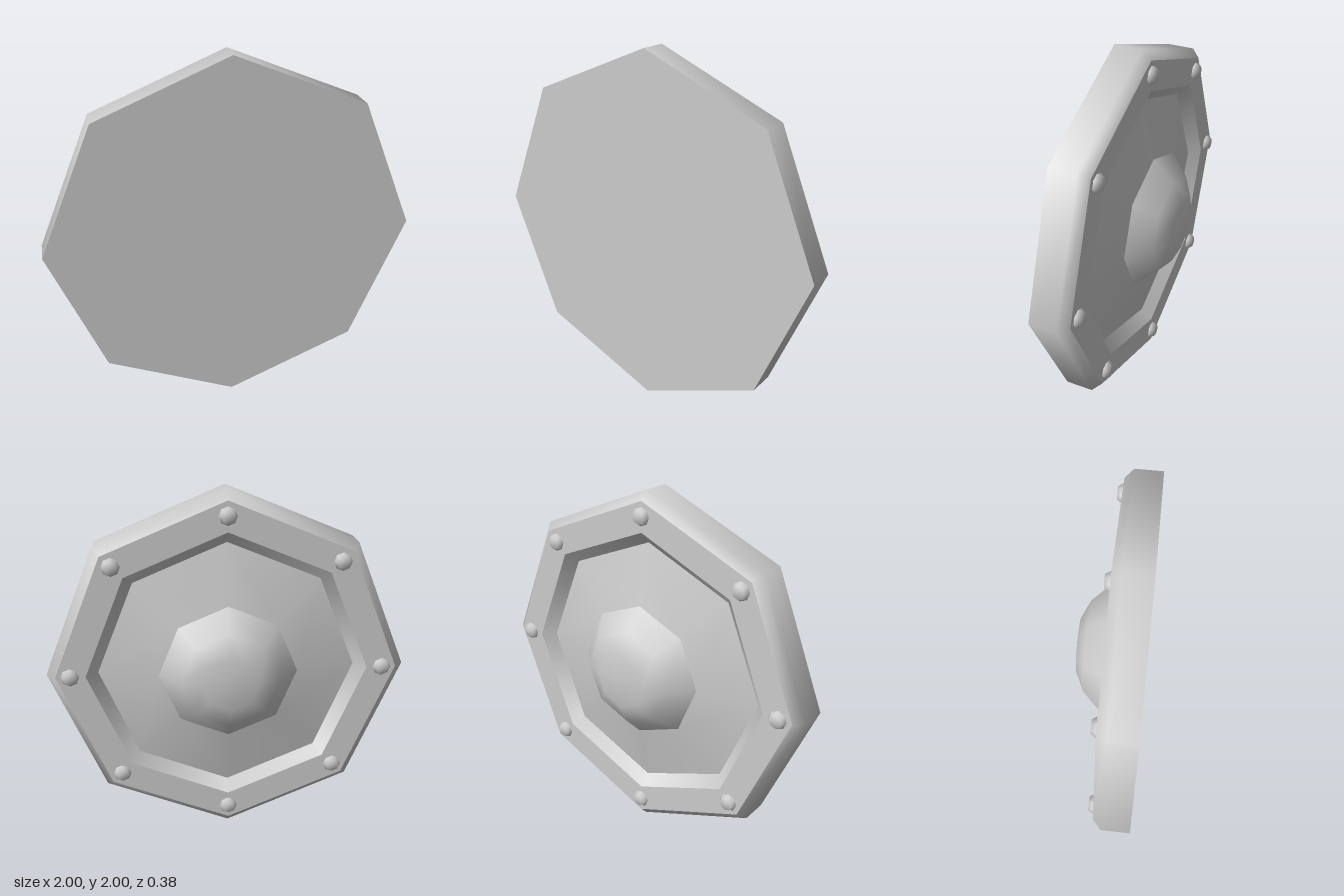
import * as THREE from 'three';

const SIDES = 8;
const grey = new THREE.MeshStandardMaterial({ color: 0xcccccc });

// Octagonal lathe about z; profile points are [radius, z], running from the front to the back
function ring(name, profile) {
  const points = profile.map(([r, z]) => new THREE.Vector2(r, -z));
  const geometry = new THREE.LatheGeometry(points, SIDES).rotateX(-Math.PI / 2);
  const mesh = new THREE.Mesh(geometry, grey);
  mesh.name = name;
  return mesh;
}

export function createModel() {
  const shield = new THREE.Group();
  shield.name = 'octagonalShield';

  // Separate profiles keep the creases between the parts sharp
  shield.add(
    ring('frontFace', [[0, 0.19], [1, 0.19]]),
    ring('outerEdge', [[1, 0.19], [1, 0.04], [0.95, -0.007]]),
    ring('backRim', [[0.95, -0.007], [0.785, -0.007]]),
    ring('recessWall', [[0.785, -0.007], [0.72, 0.055]]),
    ring('recessFloor', [[0.72, 0.055], [0.385, -0.02]]),
    ring('centreBoss', [[0.385, -0.02], [0.27, -0.135], [0.155, -0.188], [0, -0.19]])
  );

  // Rivets at the corners of the rim
  for (let i = 0; i < SIDES; i++) {
    const angle = (i / SIDES) * Math.PI * 2;
    const rivet = ring('rivet', [[0.05, 0], [0.05, -0.012], [0.035, -0.036], [0, -0.037]]);
    rivet.position.set(0.87 * Math.cos(angle), 0.87 * Math.sin(angle), 0);
    shield.add(rivet);
  }

  shield.position.y = 1;
  const model = new THREE.Group();
  model.add(shield);
  return model;
}
